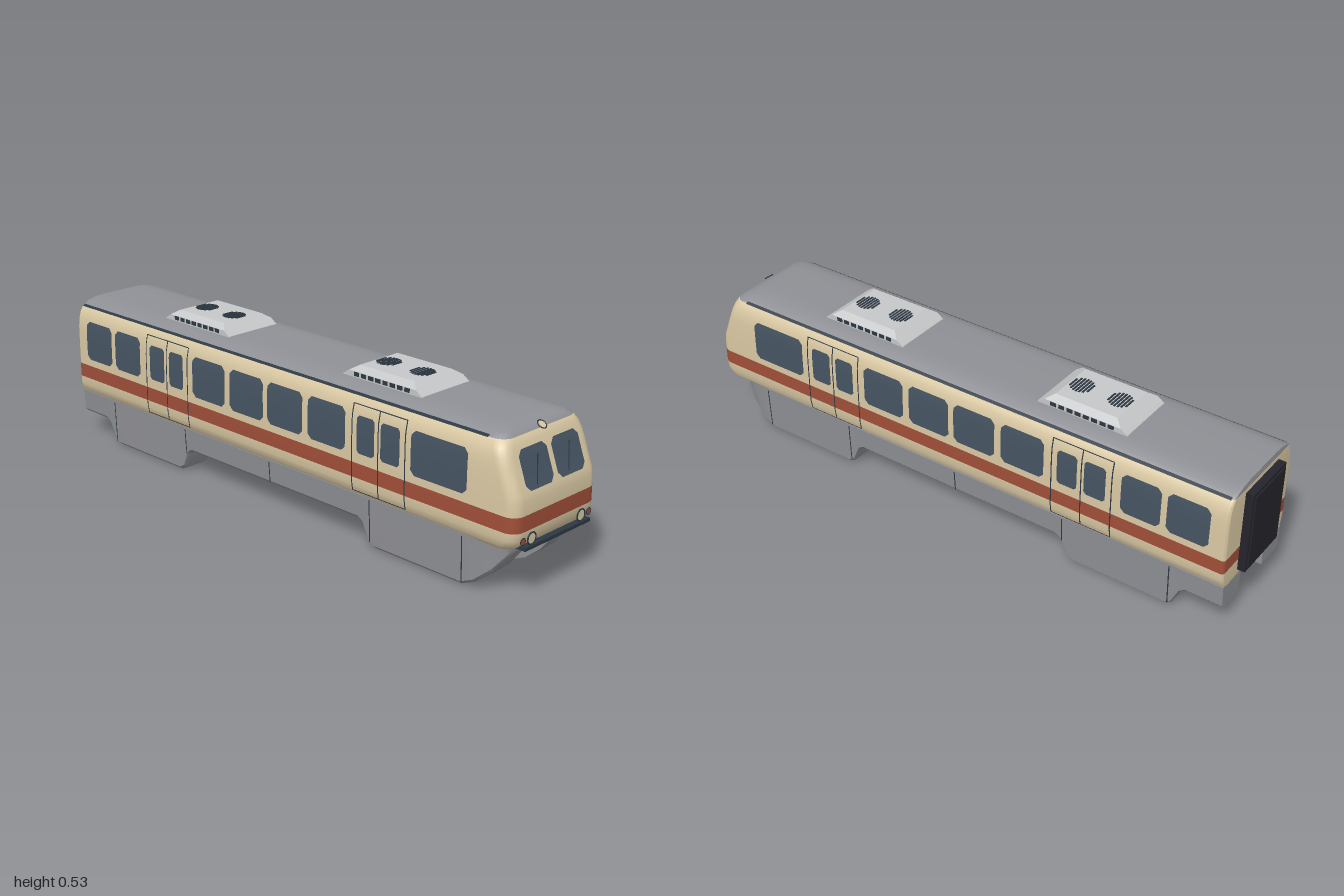
import * as THREE from 'three';
import { toCreasedNormals } from 'three/addons/utils/BufferGeometryUtils.js';

const mat = (name, color, side = THREE.FrontSide) => {
  const m = new THREE.MeshStandardMaterial({ color, side });
  m.name = name;
  return m;
};

// Body levels from floor to roof: [y, half width, front z]
const LEVELS = [
  [0.15, 0.15, 0.925], [0.158, 0.17, 0.955], [0.172, 0.184, 0.978], [0.195, 0.19, 0.99],
  [0.22, 0.191, 0.991], [0.268, 0.191, 0.991], [0.305, 0.191, 0.99], [0.325, 0.191, 0.986],
  [0.36, 0.191, 0.972], [0.4, 0.1905, 0.957], [0.43, 0.188, 0.946], [0.455, 0.181, 0.936],
  [0.475, 0.168, 0.925], [0.487, 0.148, 0.908], [0.494, 0.122, 0.885], [0.497, 0.09, 0.86],
];
const REAR = -0.97;

// Body half width (column 1) or front z (column 2) at a height
function bodyAt(y, col) {
  let i = 1;
  while (i < LEVELS.length - 1 && LEVELS[i][0] < y) i++;
  const a = LEVELS[i - 1], b = LEVELS[i];
  return THREE.MathUtils.lerp(a[col], b[col], (y - a[0]) / (b[0] - a[0]));
}

// Skin a stack of rings and cap both ends; bandOf(i) gives the material index of band i
function loft(rings, crease, bandOf = () => 0) {
  const n = rings[0].length, pos = rings.flat(2), index = [], g = new THREE.BufferGeometry();
  const add = (m, tris) => {
    g.addGroup(index.length, tris.length, m);
    index.push(...tris);
  };
  const cap = (r, flip) => {
    const t = [];
    for (let i = 1; i < n - 1; i++) t.push(r * n, r * n + (flip ? i + 1 : i), r * n + (flip ? i : i + 1));
    return t;
  };
  add(bandOf(0), cap(0, true));
  for (let r = 0; r < rings.length - 1; r++) {
    const t = [];
    for (let i = 0; i < n; i++) {
      const j = (i + 1) % n, a = r * n, b = a + n;
      t.push(a + i, a + j, b + j, a + i, b + j, b + i);
    }
    add(bandOf(r), t);
  }
  add(bandOf(rings.length - 2), cap(rings.length - 1, false));
  g.setAttribute('position', new THREE.Float32BufferAttribute(pos, 3));
  g.setIndex(index);
  return toCreasedNormals(g, crease);
}

// Plan outline of the body at one level, rounded more at the front than at the rear
function planRing([y, w, front]) {
  const ring = [];
  const corners = [[1, -1, 0.01], [-1, -1, 0.01], [-1, 1, 0.04], [1, 1, 0.04]];
  corners.forEach(([sx, sz, r], q) => {
    for (let k = 0; k <= 6; k++) {
      const a = (q + k / 6) * Math.PI / 2;
      ring.push([sx * (w - r) + r * Math.cos(a), y, (sz > 0 ? front - r : REAR + r) - r * Math.sin(a)]);
    }
  });
  return ring;
}

// Thin panel with cut corners, laid on a surface by place(u, v)
function panel(u0, u1, v0, v1, r, place) {
  const rows = [[v0, r]];
  for (let k = 0; k <= 8; k++) rows.push([v0 + r + (v1 - v0 - 2 * r) * k / 8, 0]);
  rows.push([v1, r]);
  const pos = [], index = [];
  rows.forEach(([v, inset], i) => {
    pos.push(...place(u0 + inset, v), ...place(u1 - inset, v));
    const a = 2 * i;
    if (i) index.push(a - 2, a - 1, a + 1, a - 2, a + 1, a);
  });
  const g = new THREE.BufferGeometry();
  g.setAttribute('position', new THREE.Float32BufferAttribute(pos, 3));
  g.setIndex(index);
  g.computeVertexNormals();
  return g;
}

export function createModel() {
  const model = new THREE.Group();
  const cream = mat('cream paint', 0xd9c8a3, THREE.DoubleSide);
  const red = mat('red paint', 0xa14f39, THREE.DoubleSide);
  const grey = mat('grey paint', 0x8f9095);
  const light = mat('light grey', 0xc6c7c8);
  const glass = mat('window glass', 0x465563, THREE.DoubleSide);
  const slate = mat('dark slate', 0x2c3843, THREE.DoubleSide);
  const black = mat('black rubber', 0x25242c);
  const add = (name, geo, material, parent = model) => {
    const m = new THREE.Mesh(geo, material);
    m.name = name;
    parent.add(m);
    return m;
  };
  const box = (name, w, h, d, x, y, z, material, parent) => {
    const m = add(name, new THREE.BoxGeometry(w, h, d), material, parent);
    m.position.set(x, y, z);
    return m;
  };

  // Body shell: floor edge, cream, red stripe, cream, roof
  const bandOf = (i) => (i < 1 || i >= 12 ? 2 : i === 4 ? 1 : 0);
  add('body', loft(LEVELS.map(planRing), 0.6, bandOf), [cream, red, grey]);

  // Side windows, doors and gutters
  const windows = [[0.61, 0.82], [0.19, 0.348], [0.01, 0.166], [-0.166, -0.01], [-0.348, -0.19],
    [-0.755, -0.62], [-0.915, -0.775]];
  const doorWindows = [[0.492, 0.567], [0.396, 0.467], [-0.467, -0.396], [-0.567, -0.492]];
  for (const s of [-1, 1]) {
    const side = new THREE.Group();
    side.name = s > 0 ? 'leftSide' : 'rightSide';
    model.add(side);
    const wall = (off) => (z, y) => [s * (bodyAt(y, 1) + off), y, z];
    for (const [a, b] of windows) add('sideWindow', panel(a, b, 0.294, 0.432, 0.015, wall(0.003)), glass, side);
    for (const [a, b] of doorWindows) add('doorWindow', panel(a, b, 0.302, 0.422, 0.009, wall(0.003)), glass, side);
    for (const c of [0.4815, -0.4815]) {
      for (const d of [-0.106, 0, 0.106])
        add('doorSeam', panel(c + d - 0.002, c + d + 0.002, 0.175, 0.453, 0, wall(0.002)), slate, side);
      for (const y of [0.175, 0.451])
        add('doorSeam', panel(c - 0.106, c + 0.106, y, y + 0.003, 0, wall(0.002)), slate, side);
    }
    add('gutter', panel(REAR + 0.01, 0.87, 0.474, 0.48, 0, wall(0.003)), slate, side);
  }

  // Windscreens and wipers
  const nose = (off) => (x, y) => [x, y, bodyAt(y, 2) + off];
  for (const s of [-1, 1]) {
    const c = s * 0.072;
    add('windscreen', panel(c - 0.062, c + 0.062, 0.333, 0.444, 0.016, nose(0.003)), glass);
    const u = s > 0 ? 0.053 : -0.091;
    const slanted = (x, y) => nose(0.006)(x + (y - 0.345) * 0.42, y);
    add('wiper', panel(u, u + 0.005, 0.345, 0.42, 0, slanted), slate);
  }

  // Lamps: a rimmed disc facing forward
  const lamp = (name, x, y, z, r, material, tilt = 0) => {
    const g = new THREE.Group();
    g.name = name;
    g.position.set(x, y, z);
    g.rotation.x = tilt;
    add('lens', new THREE.CircleGeometry(r, 24), material, g);
    add('rim', new THREE.TorusGeometry(r, r * 0.13, 6, 24), slate, g);
    model.add(g);
  };
  for (const s of [-1, 1]) {
    lamp('headlight', s * 0.114, 0.193, 0.993, 0.018, cream);
    lamp('tailLight', s * 0.152, 0.193, 0.992, 0.0105, red);
  }
  lamp('roofLamp', 0, 0.482, 0.923, 0.0145, cream, -0.95);
  box('bumper', 0.3, 0.011, 0.035, 0, 0.17, 0.9825, slate);

  // Rear gangway
  box('gangway', 0.2, 0.28, 0.025, 0, 0.32, -0.9825, black);
  box('gangwayFace', 0.18, 0.26, 0.01, 0, 0.32, -0.995, black);

  // Skirts straddling the beam: [z, bottom y, outer x]
  const stations = [[-0.97, 0.08, 0.174], [-0.845, 0.08, 0.174], [-0.825, 0.065, 0.174], [-0.8, 0.012, 0.172],
    [-0.78, 0, 0.172], [-0.45, 0, 0.172], [-0.43, 0.012, 0.172], [-0.405, 0.068, 0.174], [-0.385, 0.08, 0.174],
    [0.385, 0.08, 0.174], [0.405, 0.068, 0.174], [0.43, 0.012, 0.172], [0.45, 0, 0.172], [0.79, 0, 0.172],
    [0.835, 0.02, 0.17], [0.89, 0.067, 0.156], [0.93, 0.12, 0.132], [0.95, 0.148, 0.108]];
  for (const s of [-1, 1]) {
    const rings = stations.map(([z, y, x]) => {
      const ring = [[0.073, 0.163], [0.073, y], [x - 0.01, y], [x, Math.min(y + 0.01, 0.16)], [x + 0.005, 0.163]];
      const pts = ring.map(([px, py]) => [s * px, py, z]);
      return s > 0 ? pts : pts.reverse();
    });
    add('skirt', loft(rings, 0.55), grey);
    for (const [z, y] of [[0.797, 0.012], [0.437, 0.02], [0, 0.085], [-0.41, 0.07], [-0.79, 0.012]]) {
      const seam = (u, v) => [s * (0.1745 + 0.0055 * (v - y) / (0.158 - y)), v, u];
      add('skirtSeam', panel(z - 0.002, z + 0.002, y, 0.158, 0, seam), slate);
    }
  }

  // Running gear under the floor
  for (const z of [0.61, -0.62]) box('bogie', 0.086, 0.03, 0.42, 0, 0.145, z, black);

  // Roof units with fans and side vents
  for (const z of [0.412, -0.422]) {
    const unit = new THREE.Group();
    unit.name = 'roofUnit';
    unit.position.z = z;
    model.add(unit);
    const ring = ([y, hx, hz]) => [[hx, y, hz], [hx, y, -hz], [-hx, y, -hz], [-hx, y, hz]];
    const levels = [[0.488, 0.106, 0.162], [0.498, 0.106, 0.158], [0.514, 0.106, 0.134], [0.53, 0.083, 0.109]];
    add('housing', loft(levels.map(ring), 0.2), light, unit);
    for (const c of [-0.068, 0.068]) {
      for (let k = -3; k <= 3; k++) {
        const d = k * 0.0105;
        box('fanSlat', 2 * Math.sqrt(0.038 ** 2 - d * d), 0.002, 0.006, 0, 0.531, c + d, slate, unit);
      }
    }
    for (const s of [-1, 1])
      for (let k = 0; k < 8; k++)
        box('vent', 0.003, 0.013, 0.02, s * 0.1062, 0.5065, (k - 3.5) * 0.029, slate, unit);
  }
  return model;
}
